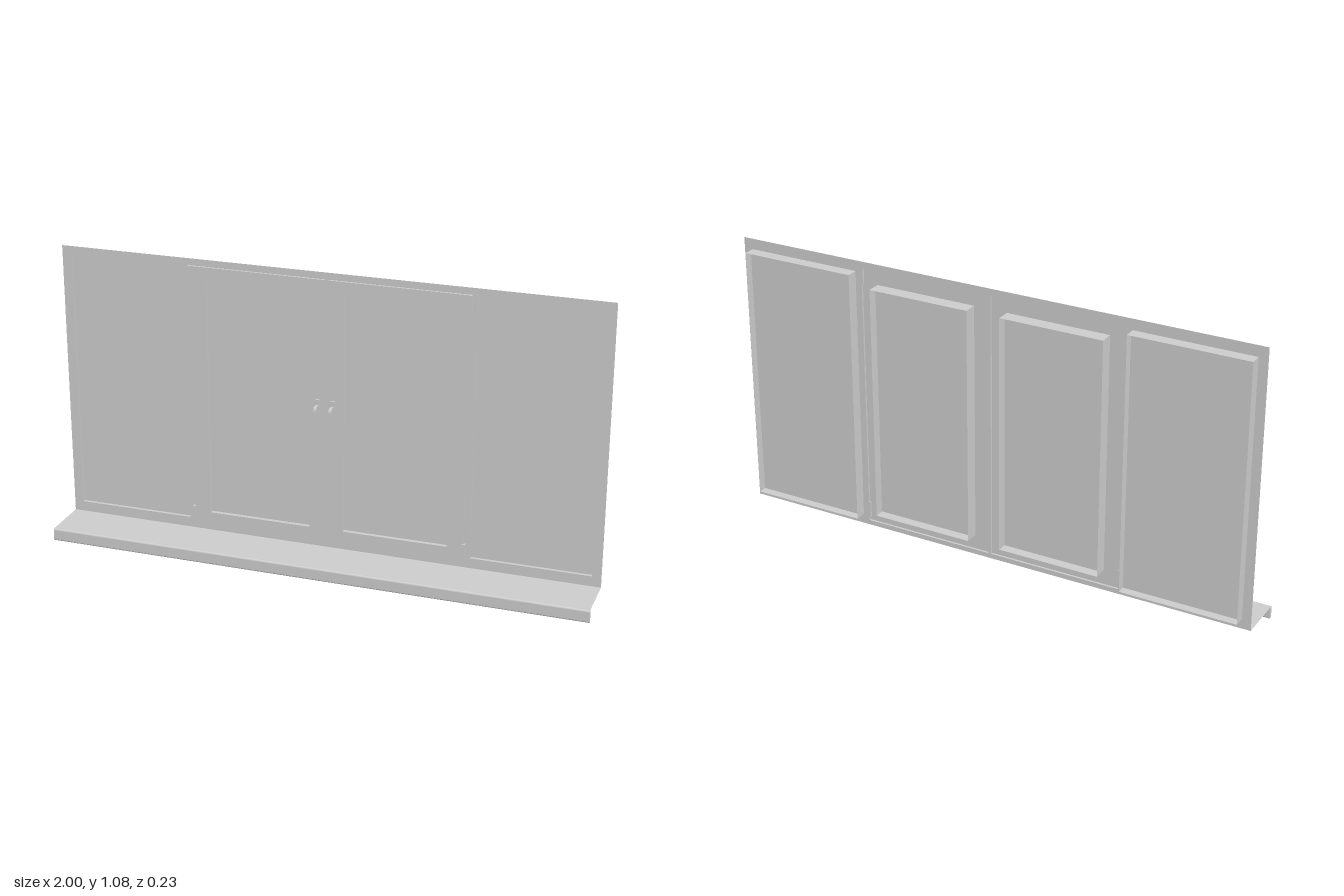
import * as THREE from 'three';

const mat = new THREE.MeshStandardMaterial({ color: 0xcccccc, side: THREE.DoubleSide });
const FRAME_Z = -0.071, SASH_Z = -0.063, BACK_Z = -0.115;

function add(parent, name, geo, x = 0, y = 0, z = 0) {
  const m = new THREE.Mesh(geo, mat);
  m.name = name;
  m.position.set(x, y, z);
  parent.add(m);
  return m;
}

function rect(Type, [x0, x1, y0, y1]) {
  return new Type([[x0, y0], [x1, y0], [x1, y1], [x0, y1]].map(p => new THREE.Vector2(...p)));
}

// Flat sheet with rectangular openings
function sheet(parent, name, outer, holes, z) {
  const s = rect(THREE.Shape, outer);
  s.holes = holes.map(h => rect(THREE.Path, h));
  return add(parent, name, new THREE.ShapeGeometry(s), 0, 0, z);
}

// Four thin walls around a rectangle, running from z0 back to z1
function walls(parent, name, [x0, x1, y0, y1], z0, z1) {
  const g = new THREE.Group();
  g.name = name;
  const d = z0 - z1, zc = (z0 + z1) / 2;
  for (const s of [-1, 1]) {
    const side = new THREE.PlaneGeometry(d, y1 - y0).rotateY(s * Math.PI / 2);
    add(g, name + 'Side', side, s < 0 ? x0 : x1, (y0 + y1) / 2, zc);
    const cap = new THREE.PlaneGeometry(x1 - x0, d).rotateX(-s * Math.PI / 2);
    add(g, name + 'Cap', cap, (x0 + x1) / 2, s < 0 ? y0 : y1, zc);
  }
  parent.add(g);
}

const mirror = (r, s) => s > 0 ? r : [-r[1], -r[0], r[2], r[3]];

// Handle: back plate, and a lever that comes forward and bends down
function handle(x) {
  const g = new THREE.Group();
  g.name = 'handle';
  add(g, 'handlePlate', new THREE.BoxGeometry(0.018, 0.047, 0.007), 0, 0.593, SASH_Z + 0.0035);
  const s = new THREE.Shape();
  s.moveTo(0.056, 0.597);
  s.lineTo(0.04, 0.597);
  s.quadraticCurveTo(0.029, 0.596, 0.028, 0.58);
  s.lineTo(0.028, 0.505);
  s.lineTo(0.031, 0.505);
  s.lineTo(0.034, 0.572);
  s.quadraticCurveTo(0.035, 0.582, 0.041, 0.583);
  s.lineTo(0.056, 0.579);
  // The outline lies in the (-z, y) plane and is thickened along x
  const lever = new THREE.ExtrudeGeometry(s, { depth: 0.01, bevelEnabled: false, curveSegments: 6 });
  lever.translate(0, 0, -0.005).rotateY(Math.PI / 2);
  add(g, 'handleLever', lever);
  g.position.x = x;
  return g;
}

export function createModel() {
  const model = new THREE.Group();
  model.name = 'window';
  const fixed = [0.531, 0.966, 0.085, 1.04];
  const sash = [0.005, 0.507, 0.065, 1.055];
  const light = [0.063, 0.447, 0.12, 1.002];

  // Outer frame with openings for the fixed lights and the sashes
  const openings = [fixed, sash].flatMap(r => [mirror(r, 1), mirror(r, -1)]);
  sheet(model, 'outerFrame', [-1, 1, 0.047, 1.08], openings, FRAME_Z);

  for (const s of [1, -1]) {
    // Fixed light
    const f = mirror(fixed, s), c = mirror(sash, s), l = mirror(light, s);
    walls(model, 'fixedReveal', f, FRAME_Z, BACK_Z);
    sheet(model, 'fixedPane', f, [], -0.083);

    // Opening sash, raised slightly in front of the frame
    sheet(model, 'sashFrame', c, [l], SASH_Z);
    walls(model, 'sashEdge', c, SASH_Z, FRAME_Z);
    walls(model, 'sashReveal', l, SASH_Z, BACK_Z);
    sheet(model, 'sashPane', l, [], -0.078);

    // Hinges
    for (const y of [0.108, 1.025])
      add(model, 'hinge', new THREE.BoxGeometry(0.012, 0.062, 0.014), s * 0.508, y, -0.064);
  }
  model.add(handle(-0.032), handle(0.024));

  // Sill sheet with a rounded drop nose along its front edge
  const sill = new THREE.PlaneGeometry(2, 0.179).rotateX(-Math.PI / 2);
  add(model, 'sill', sill, 0, 0.047, FRAME_Z + 0.0895);
  const r = 0.007, n = new THREE.Shape();
  n.absarc(0, 0.048 - r, r, 0, Math.PI);
  n.absarc(0, r, r, Math.PI, 2 * Math.PI);
  n.closePath();
  const nose = new THREE.ExtrudeGeometry(n, { depth: 2, bevelEnabled: false, curveSegments: 8 });
  nose.translate(0, 0, -1).rotateY(Math.PI / 2);
  add(model, 'sillNose', nose, 0, 0, 0.108);

  return model;
}
